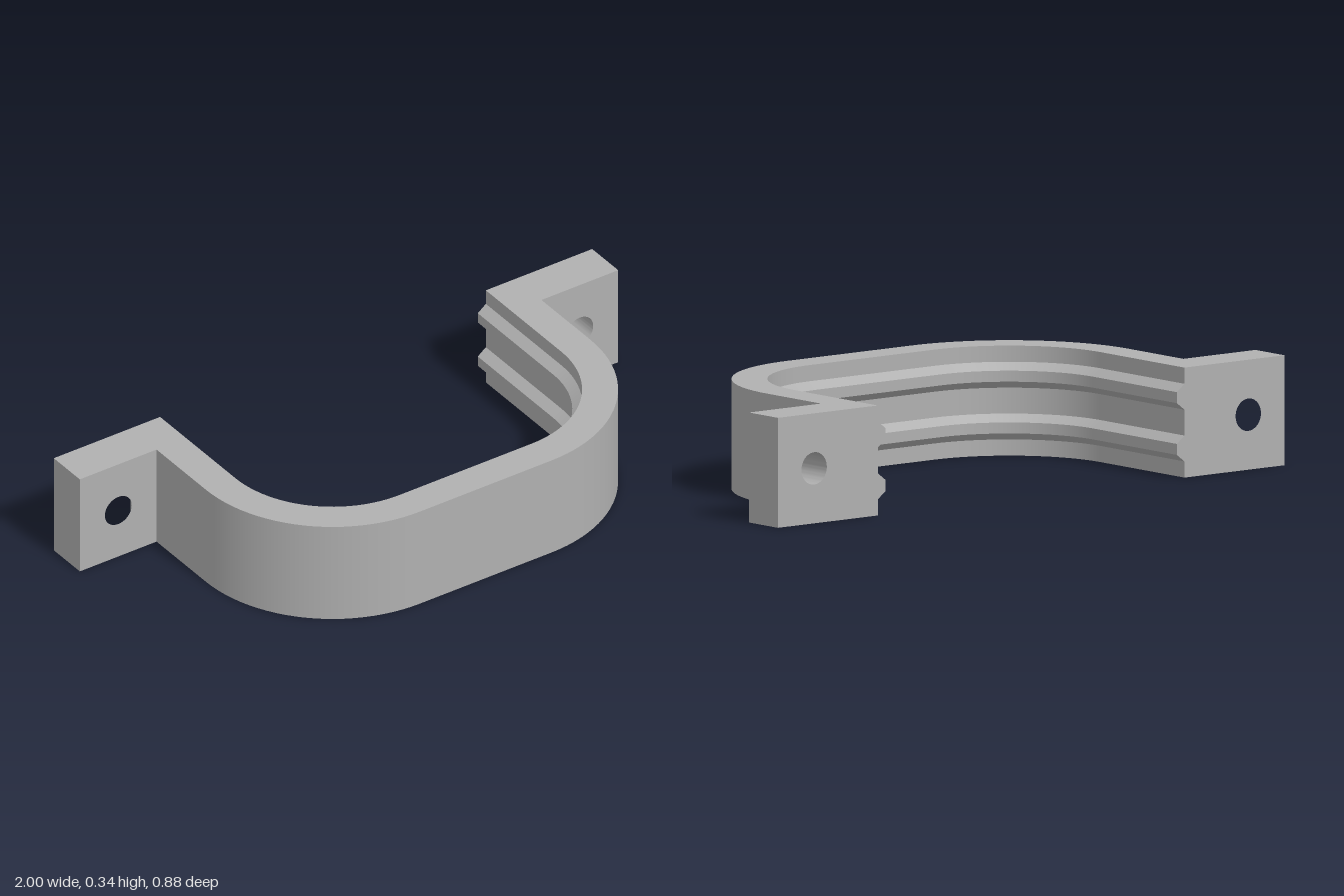
import * as THREE from 'three';
import { toCreasedNormals } from 'three/addons/utils/BufferGeometryUtils.js';

const H = 0.34, BACK = -0.4375, FLANGE = 0.14;
const CX = 0.245, CZ = -0.0325;           // centre of the bend
const INNER = 0.36, RIDGE = 0.33, OUTER = 0.47;

// Band cross-section (radius, height), counter-clockwise, with two inner ridges
function bandProfile() {
  const pts = [[INNER, 0], [OUTER, 0], [OUTER, H], [INNER, H]];
  for (const y of [0.25, 0.09]) {
    pts.push([INNER, y + 0.04], [RIDGE, y + 0.017], [RIDGE, y - 0.017], [INNER, y - 0.04]);
  }
  return pts;
}

// Stations along the U: centre x, centre z, outward angle
function bandPath() {
  const path = [[CX, BACK, 0]], n = 24;
  for (const side of [1, -1]) {
    for (let i = 0; i <= n; i++) {
      path.push([side * CX, CZ, (i / n + (side > 0 ? 0 : 1)) * Math.PI / 2]);
    }
  }
  path.push([-CX, BACK, Math.PI]);
  return path;
}

// Sweep with sharp profile edges and smooth bends
function sweep(profile, path) {
  const pos = [], nor = [], idx = [];
  profile.forEach((a, k) => {
    const b = profile[(k + 1) % profile.length];
    const dr = b[0] - a[0], dy = b[1] - a[1], len = Math.hypot(dr, dy);
    const base = pos.length / 3;
    path.forEach(([cx, cz, ang], i) => {
      const c = Math.cos(ang), s = Math.sin(ang);
      for (const [r, y] of [a, b]) {
        pos.push(cx + r * c, y, cz + r * s);
        nor.push(c * dy / len, -dr / len, s * dy / len);
      }
      if (i < path.length - 1) {
        const p = base + i * 2;
        idx.push(p, p + 1, p + 2, p + 1, p + 3, p + 2);
      }
    });
  });
  const g = new THREE.BufferGeometry();
  g.setAttribute('position', new THREE.Float32BufferAttribute(pos, 3));
  g.setAttribute('normal', new THREE.Float32BufferAttribute(nor, 3));
  g.setIndex(idx);
  return g;
}

export function createModel() {
  const group = new THREE.Group();
  group.name = 'clampBracket';
  const grey = new THREE.MeshStandardMaterial({ color: 0xb0b0b0 });
  grey.name = 'plainGrey';
  const add = (name, geometry) => {
    const mesh = new THREE.Mesh(geometry, grey);
    mesh.name = name;
    group.add(mesh);
    return mesh;
  };

  // Curved band
  const profile = bandProfile();
  add('band', sweep(profile, bandPath()));

  for (const side of [1, -1]) {
    const label = side > 0 ? 'left' : 'right';

    // Ridged end face of each arm, facing back
    const end = new THREE.Shape(profile.map(([r, y]) => new THREE.Vector2(-side * (CX + r), y)));
    add(label + 'ArmEnd', new THREE.ShapeGeometry(end).rotateY(Math.PI).translate(0, 0, BACK));

    // Mounting flange with a screw hole
    const x0 = side * (CX + OUTER), x1 = side;
    const plate = new THREE.Shape([[x0, 0], [x1, 0], [x1, H], [x0, H]].map(p => new THREE.Vector2(...p)));
    const hole = new THREE.Path();
    hole.absarc(side * 0.857, H / 2, 0.05, 0, Math.PI * 2, true);
    plate.holes.push(hole);
    const flange = new THREE.ExtrudeGeometry(plate, { depth: FLANGE, bevelEnabled: false, curveSegments: 32 });
    add(label + 'Flange', toCreasedNormals(flange.translate(0, 0, BACK), 0.6));
  }
  return group;
}
